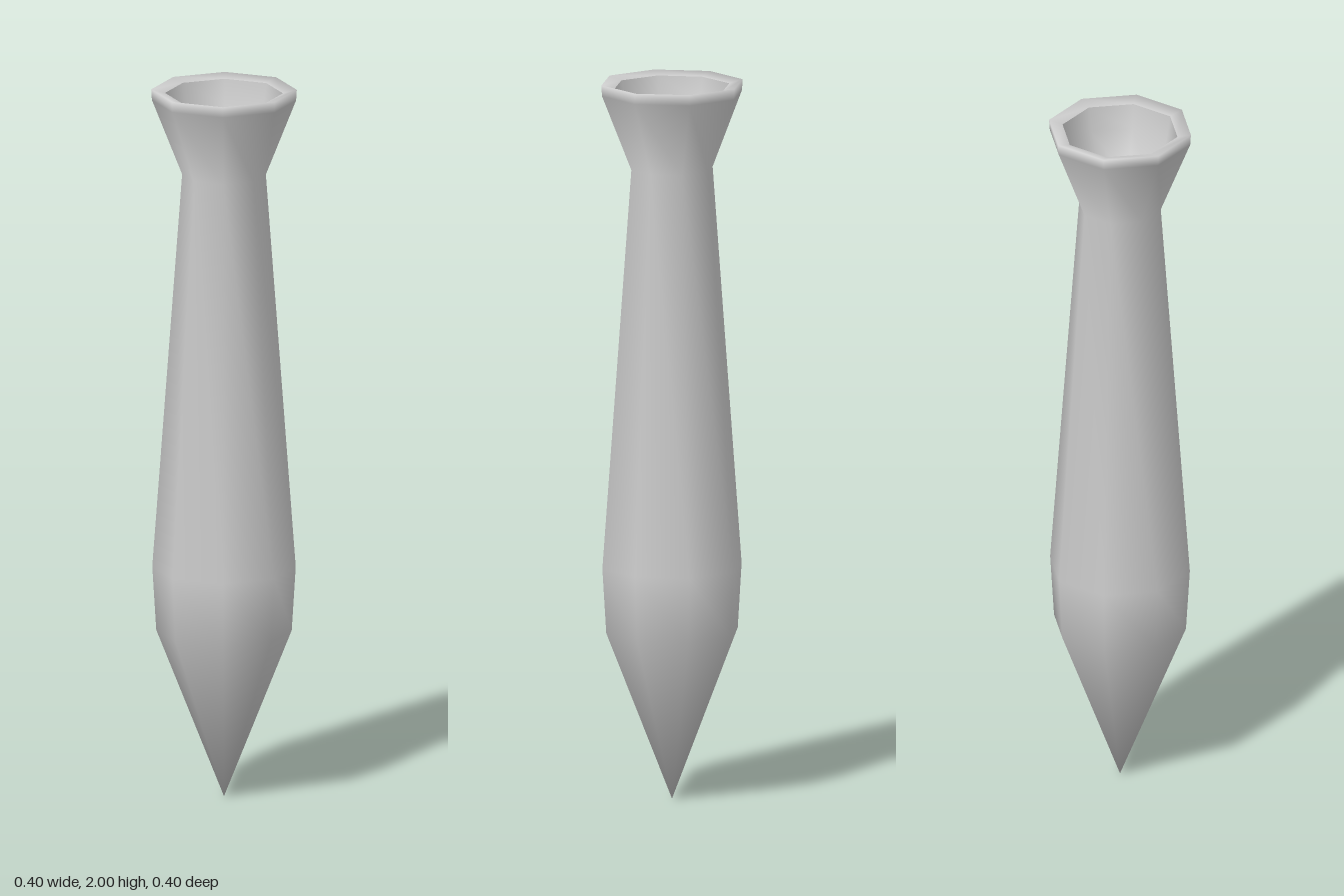
import * as THREE from 'three';
import { mergeVertices } from 'three/addons/utils/BufferGeometryUtils.js';

const SIDES = 8;
const TWIST = 0.03; // slight turn of the octagon about the vertical axis

// Eight-sided turned surface with normals smoothed across seam and tips
function turned(name, profile, material) {
  const points = profile.map(([r, y]) => new THREE.Vector2(r, y));
  let geometry = new THREE.LatheGeometry(points, SIDES, TWIST);
  geometry.deleteAttribute('normal');
  geometry.deleteAttribute('uv');
  geometry = mergeVertices(geometry, 1e-4);
  geometry.computeVertexNormals();
  const mesh = new THREE.Mesh(geometry, material);
  mesh.name = name;
  return mesh;
}

export function createModel() {
  const group = new THREE.Group();
  group.name = 'pointedVessel';
  const material = new THREE.MeshStandardMaterial({ color: 0xcccccc, side: THREE.DoubleSide });

  // Outer wall from the pointed foot up to the flared mouth and its lip
  group.add(turned('body', [
    [0, 0],
    [0.186, 0.47],
    [0.197, 0.65],
    [0.115, 1.76],
    [0.198, 1.97],
    [0.2, 2.0],
    [0.162, 1.99],
  ], material));

  // Hollow of the mouth, closing above the neck
  group.add(turned('mouthHollow', [
    [0.162, 1.99],
    [0.15, 1.92],
    [0.1, 1.79],
    [0, 1.75],
  ], material));

  return group;
}
